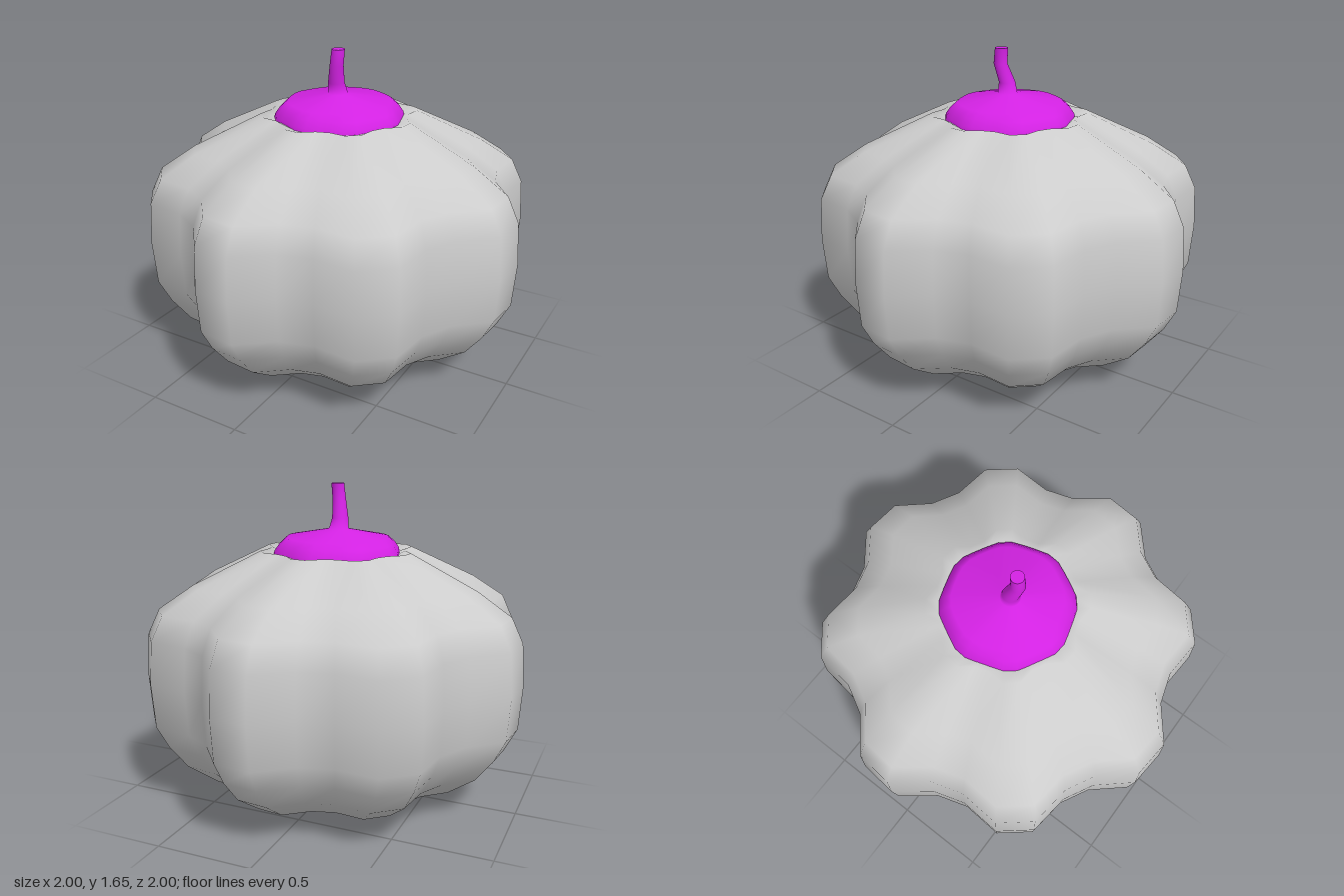
import * as THREE from 'three';

const SIDES = 32;

// Smooth closed skin through rings [y, radius, lobeDepth, centreX, centreZ], bottom to top.
// Every group of four sides has two on the lobe and two in the groove.
function ringSkin(rings) {
  const position = [], index = [];
  rings.forEach(([y, r, depth = 0, cx = 0, cz = 0], j) => {
    for (let k = 0; k < SIDES; k++) {
      const a = (k / SIDES) * Math.PI * 2;
      const radius = r * (k % 4 < 2 ? 1 : 1 - depth);
      position.push(cx + Math.cos(a) * radius, y, cz + Math.sin(a) * radius);
      if (j === rings.length - 1) continue;
      const p = j * SIDES + k, q = j * SIDES + ((k + 1) % SIDES);
      index.push(p, p + SIDES, q, q, p + SIDES, q + SIDES);
    }
  });
  const geometry = new THREE.BufferGeometry();
  geometry.setAttribute('position', new THREE.Float32BufferAttribute(position, 3));
  geometry.setIndex(index);
  geometry.computeVertexNormals();
  return geometry;
}

export function createModel() {
  const model = new THREE.Group();
  model.name = 'lobedGourd';

  const grey = new THREE.MeshStandardMaterial({ color: 0xcccccc });
  grey.name = 'grey';
  const magenta = new THREE.MeshStandardMaterial({ color: 0xd422e4 });
  magenta.name = 'magenta';

  const add = (name, geometry, material) => {
    const mesh = new THREE.Mesh(geometry, material);
    mesh.name = name;
    model.add(mesh);
    return mesh;
  };

  // Eight-lobed body with a flat base and a rim turned in under the lid
  const d = 0.116;
  add('body', ringSkin([
    [0, 0, d], [0, 0.385, d], [0.06, 0.55, d], [0.115, 0.685, d], [0.225, 0.835, d],
    [0.345, 0.925, d], [0.465, 0.985, d], [0.69, 1, d], [0.91, 0.985, d],
    [1.035, 0.925, d], [1.15, 0.75, d], [1.317, 0.4, d], [1.295, 0.33, 0.05], [1.285, 0, 0],
  ]), grey);

  // Shallow lid flowing into a bent stem
  add('lidAndStem', ringSkin([
    [1.29, 0.335, 0.03], [1.315, 0.33, 0.03], [1.35, 0.305, 0.03], [1.38, 0.27, 0.02],
    [1.42, 0.05, 0, 0, 0.015], [1.475, 0.042, 0, -0.006, 0.022],
    [1.57, 0.035, 0, 0.012, 0.05], [1.65, 0.033, 0, 0.016, 0.041],
  ]), magenta);

  // Flat cut end of the stem
  const tip = add('stemTip', new THREE.CircleGeometry(0.033, SIDES), magenta);
  tip.rotation.x = -Math.PI / 2;
  tip.position.set(0.016, 1.65, 0.041);

  return model;
}
